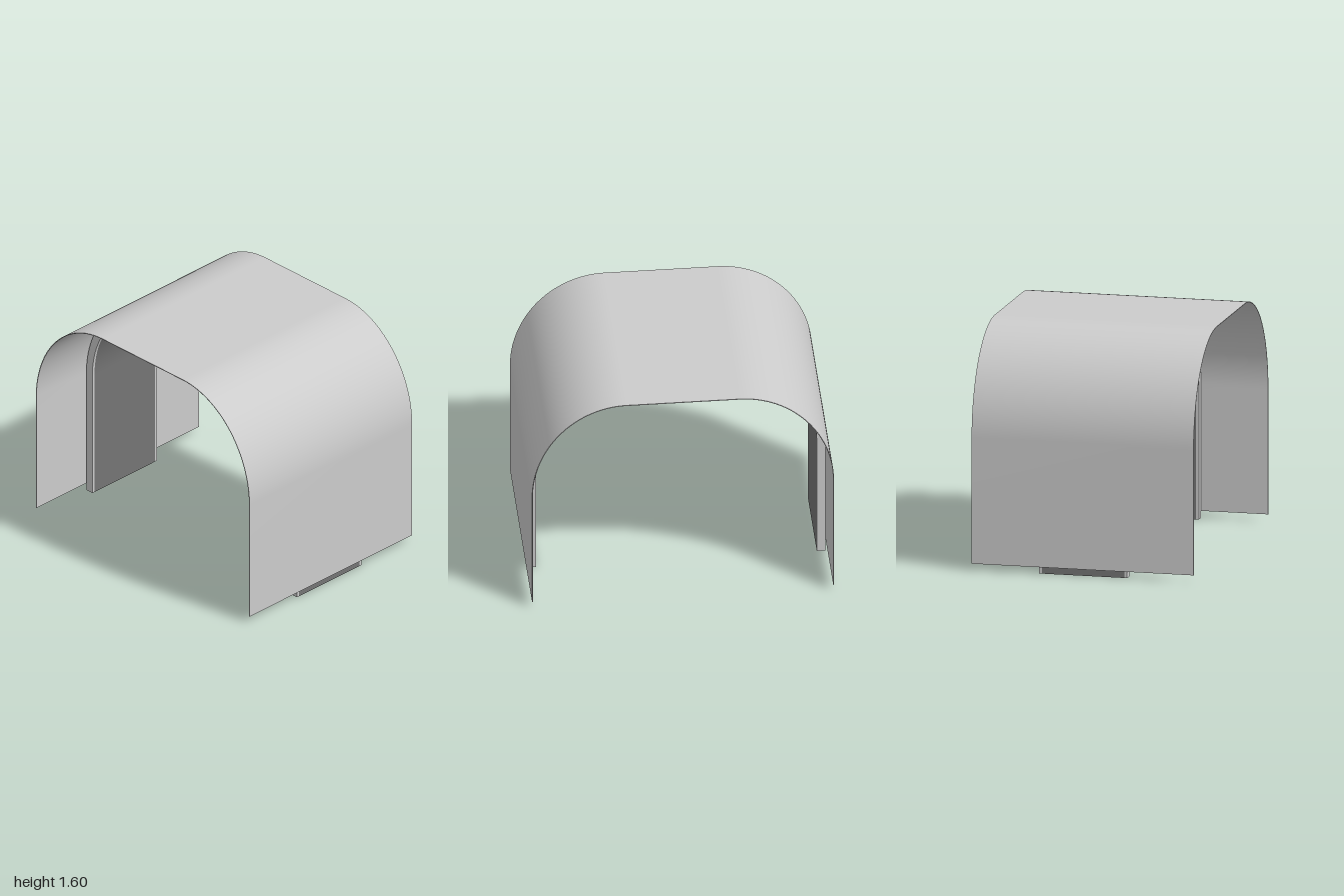
import * as THREE from 'three';
import { toCreasedNormals } from 'three/addons/utils/BufferGeometryUtils.js';

const FLAT = 0.375;   // half width of the flat crown
const SPRING = 0.89;  // height where the curved shoulders begin
const HALF = 1.0, TOP = 1.595;

// Arch-shaped band between two insets from the outermost outline, extruded along z
function archBand(outer, inner, bottom, z0, z1) {
  const s = new THREE.Shape();
  const radii = (d) => [HALF - d - FLAT, TOP - d - SPRING];
  const [ox, oy] = radii(outer);
  const [ix, iy] = radii(inner);
  s.moveTo(HALF - outer, bottom);
  s.lineTo(HALF - outer, SPRING);
  s.absellipse(FLAT, SPRING, ox, oy, 0, Math.PI / 2, false);
  s.lineTo(-FLAT, TOP - outer);
  s.absellipse(-FLAT, SPRING, ox, oy, Math.PI / 2, Math.PI, false);
  s.lineTo(-HALF + outer, bottom);
  s.lineTo(-HALF + inner, bottom);
  s.lineTo(-HALF + inner, SPRING);
  s.absellipse(-FLAT, SPRING, ix, iy, Math.PI, Math.PI / 2, true);
  s.lineTo(FLAT, TOP - inner);
  s.absellipse(FLAT, SPRING, ix, iy, Math.PI / 2, 0, true);
  s.lineTo(HALF - inner, bottom);
  s.closePath();
  const g = new THREE.ExtrudeGeometry(s, { depth: z1 - z0, bevelEnabled: false, curveSegments: 24 });
  g.translate(0, 0, z0);
  return toCreasedNormals(g, 0.5);
}

export function createModel() {
  const group = new THREE.Group();
  const lightGrey = new THREE.MeshStandardMaterial({ color: 0xcccccc });
  lightGrey.name = 'lightGrey';
  const darkGrey = new THREE.MeshStandardMaterial({ color: 0x757575 });
  darkGrey.name = 'darkGrey';

  const add = (name, geometry, material) => {
    const mesh = new THREE.Mesh(geometry, material);
    mesh.name = name;
    group.add(mesh);
    return mesh;
  };

  // Thin outer cover
  add('coverShell', archBand(0, 0.005, 0.045, -0.755, 0.755), lightGrey);

  // Inner supporting arch with a pale rim on each side
  add('archCore', archBand(0.014, 0.07, 0, -0.28, 0.28), darkGrey);
  add('frontRim', archBand(0.014, 0.07, 0, 0.28, 0.3), lightGrey);
  add('backRim', archBand(0.014, 0.07, 0, -0.3, -0.28), lightGrey);

  // Small spacer pads between arch and cover
  for (const side of [1, -1]) {
    const pad = add(side > 0 ? 'leftPad' : 'rightPad', new THREE.BoxGeometry(0.009, 0.12, 0.12), darkGrey);
    pad.position.set(side * 0.9905, 0.61, 0);
  }
  return group;
}
